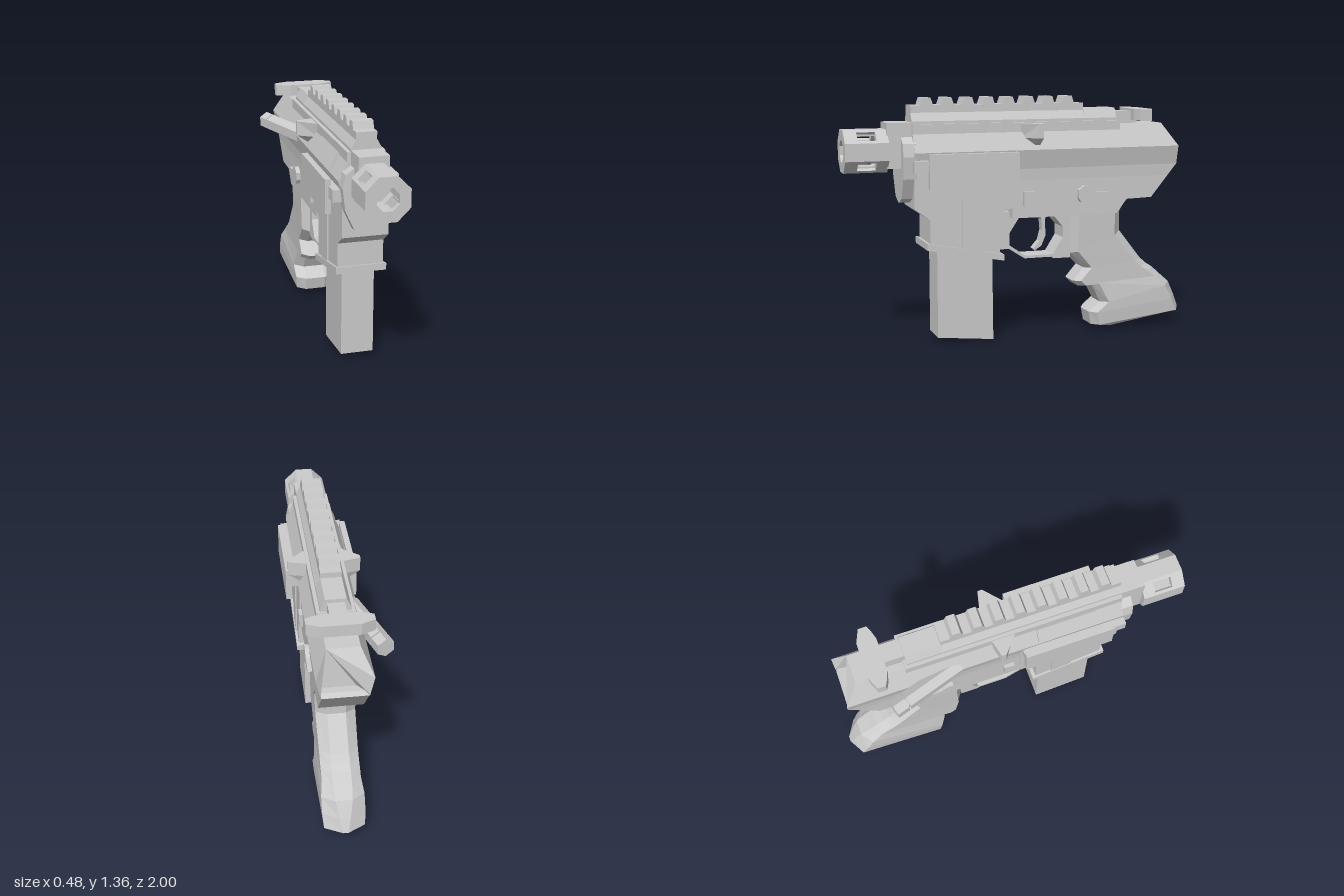
import * as THREE from 'three';

const mat = new THREE.MeshStandardMaterial({ color: 0xcccccc, flatShading: true });

export function createModel() {
  const model = new THREE.Group();
  const core = new THREE.Group(); // everything is symmetric about this plane
  core.name = 'body';
  core.position.x = 0.04;
  model.add(core);

  const add = (name, geo, x = 0, y = 0, z = 0, parent = core) => {
    const m = new THREE.Mesh(geo, mat);
    m.name = name;
    m.position.set(x, y, z);
    parent.add(m);
    return m;
  };
  const shapeOf = (pts) => new THREE.Shape(pts.map(([a, b]) => new THREE.Vector2(a, b)));
  const mirrored = (half) => [...half, ...half.map(([x, y]) => [-x, y]).reverse()];
  // box given by its limits
  const box = (name, x0, x1, y0, y1, z0, z1) =>
    add(name, new THREE.BoxGeometry(x1 - x0, y1 - y0, z1 - z0), (x0 + x1) / 2, (y0 + y1) / 2, (z0 + z1) / 2);
  // side profile of [z, y] points, extruded across x
  const side = (name, pts, width, x = 0, hole) => {
    const s = shapeOf(pts);
    if (hole) s.holes.push(shapeOf(hole));
    const g = new THREE.ExtrudeGeometry(s, { depth: width, bevelEnabled: false });
    g.translate(0, 0, -width / 2).rotateY(-Math.PI / 2);
    return add(name, g, x);
  };
  // front profile of [x, y] points, extruded from z0 to z1
  const front = (name, pts, z0, z1, hole) => {
    const s = shapeOf(pts);
    if (hole) s.holes.push(shapeOf(hole));
    return add(name, new THREE.ExtrudeGeometry(s, { depth: z1 - z0, bevelEnabled: false }), 0, 0, z0);
  };
  // closed skin over rings of [x, y, z], with end caps
  const loft = (name, rings) => {
    const n = rings[0].length, pos = rings.flat(2), idx = [];
    for (let r = 0; r < rings.length - 1; r++)
      for (let i = 0; i < n; i++) {
        const a = r * n + i, b = r * n + (i + 1) % n;
        idx.push(a, b, b + n, a, b + n, a + n);
      }
    const end = (rings.length - 1) * n;
    for (let i = 1; i < n - 1; i++) idx.push(0, i + 1, i, end, end + i, end + i + 1);
    const v = (i) => new THREE.Vector3().fromArray(pos, i * 3);
    let volume = 0;
    for (let i = 0; i < idx.length; i += 3) volume += v(idx[i]).dot(v(idx[i + 1]).cross(v(idx[i + 2])));
    if (volume < 0) idx.reverse();
    let g = new THREE.BufferGeometry();
    g.setAttribute('position', new THREE.Float32BufferAttribute(pos, 3));
    g.setIndex(idx);
    g = g.toNonIndexed();
    g.computeVertexNormals();
    return add(name, g);
  };

  // upper body: faceted section with a raked rear end
  const upper = mirrored([[0.085, 1.2], [0.145, 1.07], [0.122, 0.965], [0.118, 0.9]]);
  loft('upperBody', [
    upper.map(([x, y]) => [x, y, 0.635]),
    upper.map(([x, y]) => [x, y, y > 1.1 ? -0.835 : y < 0.95 ? -0.865 : -0.92]),
  ]);
  box('topStrip', -0.1, 0.1, 1.16, 1.22, -0.57, 0.635);

  // lower body and magazine well
  side('lowerBody', [[0.08, 0.98], [-0.9, 0.98], [-0.918, 0.96], [-0.765, 0.775], [-0.61, 0.77], [-0.55, 0.69], [0.08, 0.69]], 0.236);
  side('magazineWell', [[0.635, 1.04], [0.06, 1.04], [0.055, 0.765], [0.155, 0.72], [0.155, 0.49],
    [0.55, 0.57], [0.55, 0.705], [0.635, 0.765]], 0.25);
  side('magazineWellRib', [[0.37, 0.9], [0.25, 0.9], [0.25, 0.51], [0.37, 0.54]], 0.266);
  side('wellFlange', [[0.57, 0.578], [0.135, 0.495], [0.135, 0.46], [0.57, 0.54]], 0.275);
  side('magazine', [[0.505, 0.56], [0.19, 0.5], [0.185, 0.005], [0.505, 0.04]], 0.18);

  // grip: chamfered rings, each [frontZ, frontY, backZ, backY, halfWidth, backHalfWidth]
  const grip = [
    [-0.285, 0.78, -0.64, 0.8, 0.116, 0.06], [-0.285, 0.66, -0.595, 0.69, 0.112, 0.05],
    [-0.285, 0.465, -0.595, 0.58, 0.108, 0.05], [-0.37, 0.375, -0.73, 0.41, 0.105, 0.05],
    [-0.305, 0.3, -0.77, 0.375, 0.105, 0.05], [-0.335, 0.27, -0.81, 0.35, 0.105, 0.05],
    [-0.415, 0.285, -0.86, 0.305, 0.105, 0.05], [-0.475, 0.165, -0.92, 0.255, 0.116, 0.045],
    [-0.405, 0.11, -0.965, 0.17, 0.116, 0.03], [-0.42, 0.035, -1, 0.095, 0.11, 0.015],
    [-0.5, 0.02, -0.985, 0.088, 0.085, 0.015],
  ];
  loft('grip', grip.map(([fz, fy, bz, by, w, bw]) => {
    const len = Math.hypot(bz - fz, by - fy);
    return mirrored([[0.06, 0], [w, 0.035 / len], [w, 1 - 0.055 / len], [bw, 1]])
      .map(([x, t]) => [x, fy + (by - fy) * t, fz + (bz - fz) * t]);
  }));

  // trigger guard and trigger
  side('triggerGuard',
    [[0.16, 0.72], [-0.29, 0.72], [-0.285, 0.44], [-0.185, 0.44], [-0.17, 0.45], [-0.01, 0.45], [0.08, 0.51], [0.16, 0.51]], 0.13, 0,
    [[0.08, 0.6], [0.02, 0.69], [-0.18, 0.69], [-0.24, 0.62], [-0.24, 0.56], [-0.18, 0.465], [-0.015, 0.465], [0.08, 0.53]]);
  side('trigger', [[-0.1, 0.72], [-0.17, 0.72], [-0.145, 0.66], [-0.15, 0.57], [-0.125, 0.51], [-0.085, 0.485],
    [-0.075, 0.495], [-0.115, 0.54], [-0.13, 0.6], [-0.125, 0.66]], 0.05);

  // rail with teeth
  front('railBase', mirrored([[0.055, 1.32], [0.055, 1.28], [0.08, 1.235], [0.08, 1.19]]), -0.36, 0.635);
  front('railTail', mirrored([[0.055, 1.29], [0.08, 1.235], [0.08, 1.19]]), -0.555, -0.36);
  for (let i = 0; i < 8; i++) {
    const z = 0.545 - i * 0.1165;
    side('railTooth', [[z - 0.037, 1.315], [z - 0.022, 1.36], [z + 0.022, 1.36], [z + 0.037, 1.315]], 0.11);
  }

  // charging handle
  box('chargingShaft', -0.045, 0.045, 1.18, 1.27, -0.7, -0.55);
  const wing = shapeOf(mirrored([[0.1, -0.765], [0.172, -0.735], [0.172, -0.69], [0.14, -0.675], [0.09, -0.66]]));
  const wingGeo = new THREE.ExtrudeGeometry(wing, { depth: 0.065, bevelEnabled: false });
  add('chargingHandle', wingGeo.rotateX(Math.PI / 2), 0, 1.282, 0);

  // front cap, barrel block
  front('frontCap', mirrored([[0.07, 1.16], [0.125, 1.12], [0.14, 1.05], [0.125, 0.93], [0.075, 0.82], [0.001, 0.79]]), 0.62, 0.695);
  box('barrelBlock', -0.08, 0.08, 0.985, 1.23, 0.62, 0.77);

  // octagonal muzzle with windows in its diagonal faces
  const muzzle = new THREE.Group();
  muzzle.name = 'muzzle';
  muzzle.position.set(0, 1.08, 0.765);
  core.add(muzzle);
  const octagon = (r) => Array.from({ length: 8 }, (_, i) => {
    const a = (i + 0.5) * Math.PI / 4, c = r / Math.cos(Math.PI / 8);
    return [c * Math.cos(a), c * Math.sin(a)];
  });
  const wall = 0.035, half = 0.115 * Math.tan(Math.PI / 8);
  for (let i = 0; i < 8; i++) {
    const s = shapeOf([[-half, 0], [half, 0], [half, 0.235], [-half, 0.235]]);
    if (i % 2) s.holes.push(shapeOf([[-0.03, 0.065], [0.03, 0.065], [0.03, 0.165], [-0.03, 0.165]]));
    const g = new THREE.ExtrudeGeometry(s, { depth: wall, bevelEnabled: false });
    g.rotateX(Math.PI / 2).translate(0, 0.115, 0).rotateZ(i * Math.PI / 4);
    add('muzzleFace', g, 0, 0, 0, muzzle);
  }
  const ring = shapeOf(octagon(0.115));
  add('muzzleBack', new THREE.ExtrudeGeometry(ring, { depth: 0.02, bevelEnabled: false }), 0, 0, 0, muzzle);
  const lip = shapeOf(octagon(0.1149));
  lip.holes.push(shapeOf(octagon(0.058)));
  add('muzzleLip', new THREE.ExtrudeGeometry(lip, { depth: 0.025, bevelEnabled: false }), 0, 0, 0.21, muzzle);

  // parts on both sides
  for (const s of [1, -1]) {
    const lim = (a, b) => (s > 0 ? [a, b] : [-b, -a]);
    box('sidePlate', ...lim(0.165, 0.198), 0.88, 1.065, 0.065, 0.568);
    box('plateMount', ...lim(0.1, 0.178), 0.965, 1.03, 0.065, 0.645);
    box('magazineRelease', ...lim(0.1, 0.138), 0.755, 0.84, -0.04, 0.018);
    side('selector', [[-0.305, 0.835], [-0.34, 0.86], [-0.375, 0.855], [-0.41, 0.825], [-0.49, 0.82],
      [-0.5, 0.8], [-0.48, 0.79], [-0.4, 0.785], [-0.37, 0.765], [-0.32, 0.765], [-0.305, 0.79]], 0.04, s * 0.122);
    // wedge-shaped lug
    const lug = (y, out, zf) => [[0.06, y, -0.1], [0.09, y, -0.1], [out, y, -0.075], [out, y, -0.05], [0.09, y, zf], [0.06, y, zf]]
      .map(([x, h, z]) => [s * x, h, z]);
    loft('sideLug', [lug(1.215, 0.195, 0.04), lug(1.135, 0.195, 0.02), lug(1.095, 0.135, -0.02)]);
  }

  // cover plate on the right side, lying on the sloped face
  const cover = add('portCover', new THREE.BoxGeometry(0.02, 0.1, 0.33), -0.12, 1.13, 0.315);
  cover.rotation.z = -0.43;

  // angled plunger on the right side
  const plunger = new THREE.Group();
  plunger.name = 'plunger';
  plunger.position.set(-0.235, 1.067, -0.69);
  plunger.rotation.y = Math.atan2(0.12, 0.38);
  core.add(plunger);
  const hex = (name, r, z0, z1) =>
    add(name, new THREE.CylinderGeometry(r, r, z1 - z0, 6).rotateX(Math.PI / 2), 0, 0, (z0 + z1) / 2, plunger);
  hex('plungerCap', 0.052, 0, 0.07);
  hex('plungerStem', 0.038, 0.05, 0.1);
  hex('plungerTube', 0.052, 0.08, 0.42);

  return model;
}
